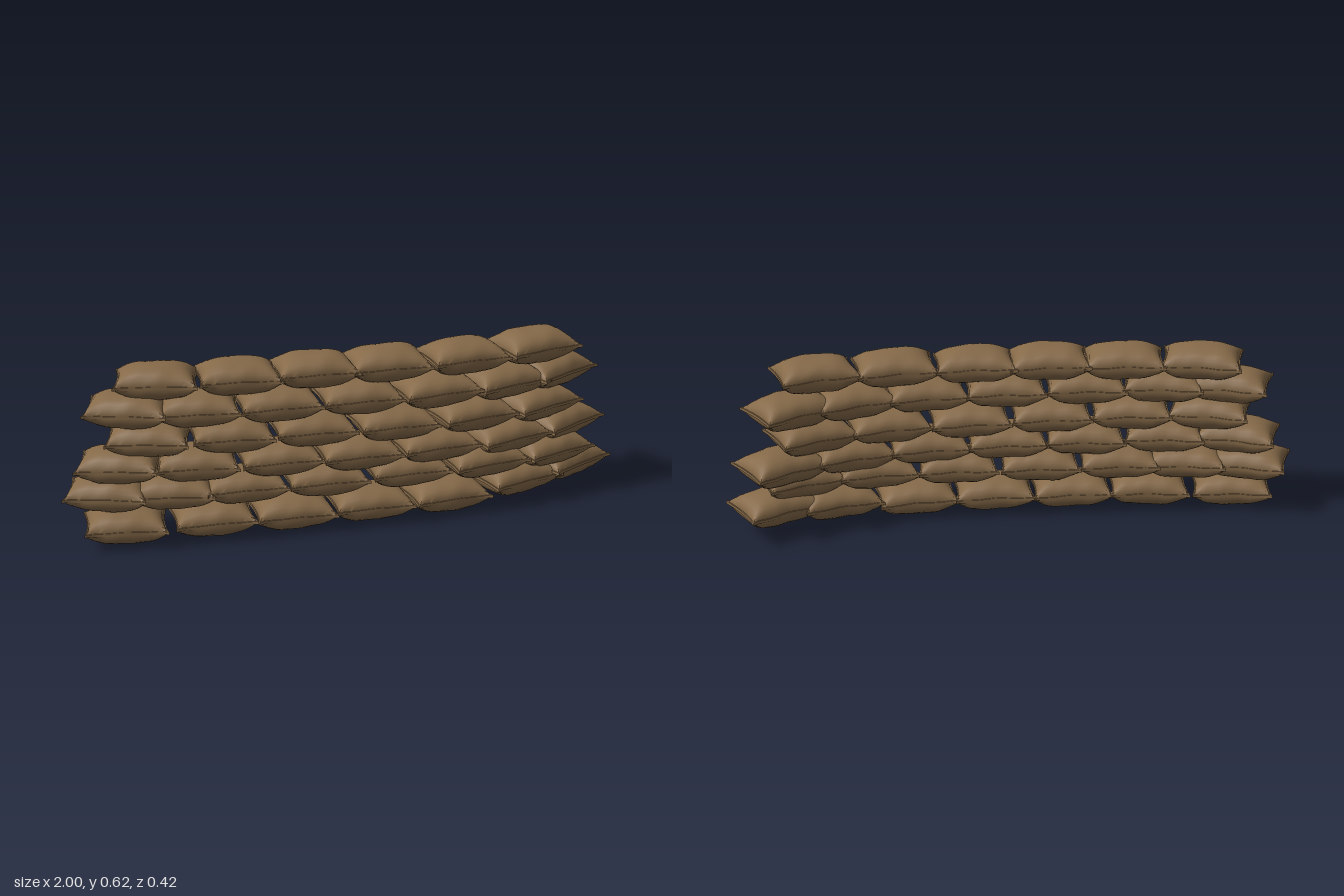
import * as THREE from 'three';
import { toCreasedNormals } from 'three/addons/utils/BufferGeometryUtils.js';

const LENGTH = 0.14, DEPTH = 0.1, HEIGHT = 0.055, SEAM = 0.005; // half sizes of a bag
const HEM_U = 0.97, HEM_V = 0.97; // where the stuffing ends and the flat hem begins

function seeded(seed) {
  return () => {
    seed = (seed * 16807) % 2147483647;
    return seed / 2147483647;
  };
}

// Stations from -1 to 1, closer together near the hems
function stations(count, hem) {
  const list = [-1];
  for (let i = 0; i <= count; i++) list.push(-hem * (0.7 * Math.cos((i / count) * Math.PI) + 0.3 * (1 - 2 * i / count)));
  list.push(1);
  return list;
}

// Stuffed pillow: closed cross-sections swept along x, with pulled-out corners and pleats at the seam
function bagGeometry(seed) {
  const rand = seeded(seed);
  const phase = [rand() * 6, rand() * 6, rand() * 6];
  const us = stations(16, HEM_U), vs = stations(12, HEM_V);
  const n = vs.length, ring = 2 * n;
  const pos = [], index = [];
  const bulge = (t, p, q) => Math.pow(Math.max(0, 1 - Math.pow(Math.abs(t), p)), q);

  for (const u of us) {
    for (let k = 0; k < ring; k++) {
      const top = k < n;
      const v = vs[top ? k : ring - 1 - k];
      const body = bulge(u / HEM_U, 3.2, 0.55) * bulge(v / HEM_V, 2.4, 0.52);
      const rim = Math.pow(Math.abs(v), 3);
      const pleat = 1 + 0.1 * rim * Math.sin(u * 11 + phase[0]) + 0.03 * Math.sin(u * 4 + v * 3 + phase[1]);
      const x = LENGTH * u * (0.93 + 0.07 * v * v);
      const z = DEPTH * v * (0.93 + 0.14 * Math.pow(Math.abs(u), 6)) + 0.002 * Math.sin(u * 5 + phase[2]);
      const wave = 0.002 * rim * Math.sin(u * 6 + phase[2]);
      pos.push(x, wave + (top ? 1 : -1) * (SEAM + HEIGHT * body * pleat), z);
    }
  }
  for (let i = 0; i < us.length - 1; i++) {
    for (let j = 0; j < ring; j++) {
      const a = i * ring + j, b = i * ring + (j + 1) % ring;
      index.push(a, b, a + ring, b, b + ring, a + ring);
    }
  }
  // Hemmed ends
  const last = (us.length - 1) * ring;
  for (let j = 0; j < n - 1; j++) {
    const a = j, b = j + 1, c = ring - 2 - j, d = ring - 1 - j;
    index.push(last + a, last + b, last + c, last + a, last + c, last + d);
    index.push(a, c, b, a, d, c);
  }
  const g = new THREE.BufferGeometry();
  g.setAttribute('position', new THREE.Float32BufferAttribute(pos, 3));
  g.setIndex(index);
  return toCreasedNormals(g, 0.7);
}

// Each row: height, fall towards the right-hand end, depth position at the middle of the wall,
// strength of the bend at the left-hand and right-hand ends, and bag centres along x
const ROWS = [
  { y: 0.066, fall: 0, z: 0.094, bend: [0.05, 0.185], xs: [-0.785, -0.49, -0.215, 0.06, 0.335, 0.61, 0.82] },
  { y: 0.175, fall: 0, z: 0.09, bend: [0.11, 0.145], xs: [-0.835, -0.62, -0.38, -0.1, 0.19, 0.475, 0.735] },
  { y: 0.261, fall: 0.016, z: 0.097, bend: [0.125, 0.21], xs: [-0.795, -0.54, -0.26, 0.015, 0.29, 0.56, 0.795] },
  { y: 0.354, fall: 0.016, z: 0.09, bend: [0.135, 0.2], xs: [-0.695, -0.42, -0.14, 0.145, 0.43, 0.69] },
  { y: 0.456, fall: 0.01, z: 0.09, bend: [0.135, 0.22], xs: [-0.76, -0.53, -0.26, 0.02, 0.295, 0.55, 0.755] },
  { y: 0.557, fall: 0, z: 0.07, bend: [0.135, 0.13], xs: [-0.66, -0.39, -0.13, 0.125, 0.4, 0.67] }
];

export function createModel() {
  const wall = new THREE.Group();
  wall.name = 'sandbagWall';
  const material = new THREE.MeshStandardMaterial({ color: 0x866a49 });
  const shapes = [11, 257, 4099].map(bagGeometry);
  const rand = seeded(77);
  const jitter = (size) => (rand() - 0.5) * 2 * size;

  ROWS.forEach((row, r) => {
    const course = new THREE.Group();
    course.name = 'course' + (r + 1);
    row.xs.forEach((x, i) => {
      const bag = new THREE.Mesh(shapes[(i + r) % shapes.length], material);
      bag.name = 'sandbag' + (i + 1);
      // The wall bends backwards towards both ends
      const d = x + 0.08;
      const bend = row.bend[d > 0 ? 1 : 0];
      const z = row.z - bend * Math.abs(d) ** 3;
      const yaw = Math.atan(3 * bend * d * Math.abs(d) * (d > 0 ? 1.2 : 1.6));
      // The right-hand end of the bottom course rides up
      const lift = r === 0 ? 0.033 * Math.max(0, (x - 0.4) / 0.425) : -row.fall * x;
      bag.position.set(x, row.y + lift + jitter(0.002), z + jitter(0.003));
      bag.rotation.set(jitter(0.02), yaw + jitter(0.015), jitter(0.015), 'YXZ');
      course.add(bag);
    });
    wall.add(course);
  });
  return wall;
}
